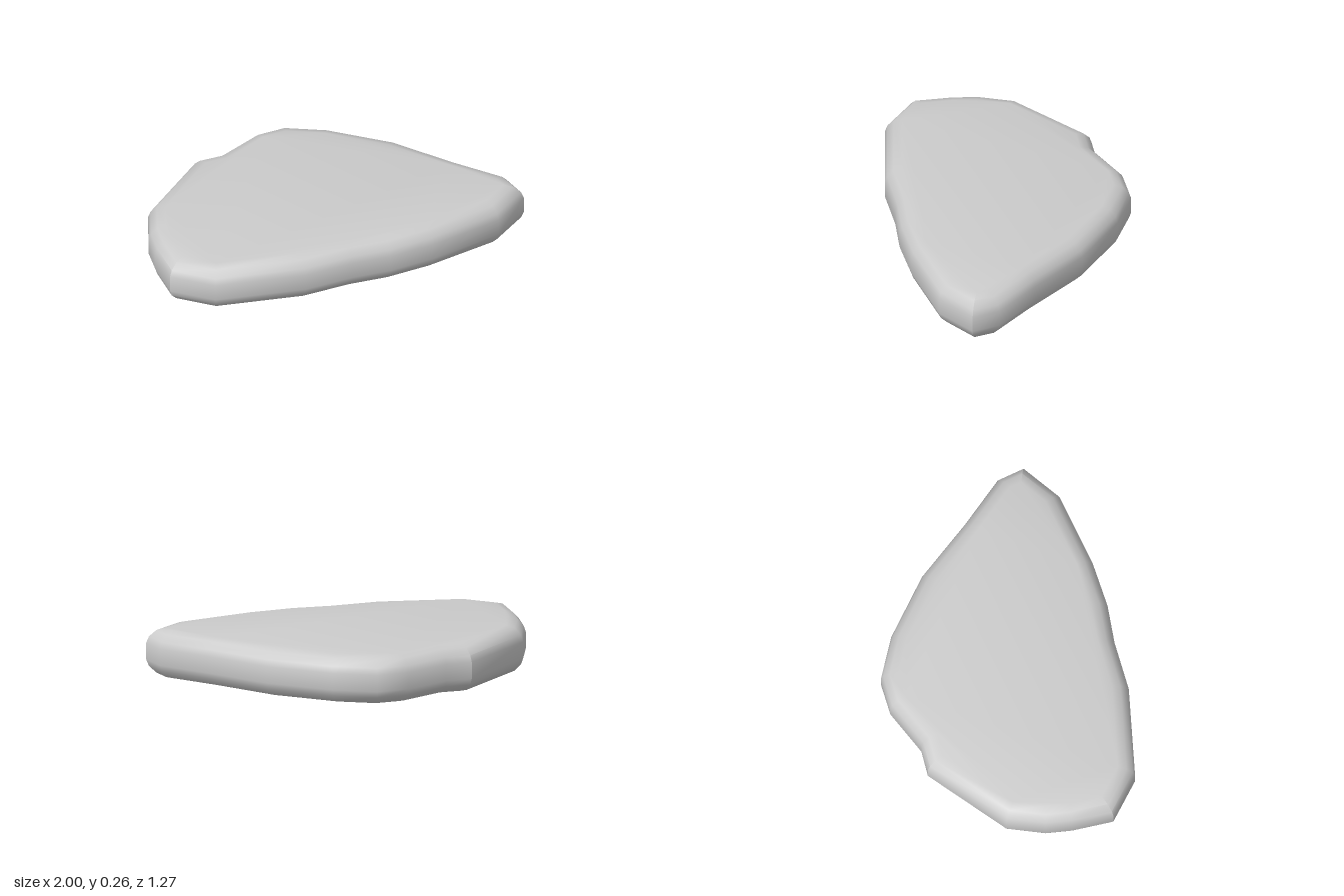
import * as THREE from 'three';
import { toCreasedNormals } from 'three/addons/utils/BufferGeometryUtils.js';

// Slab outline as (x, z), counter-clockwise seen from above
const OUTLINE = [
  [-0.86, -0.26], [-0.95, -0.07], [-0.98, 0.07], [-1, 0.29], [-0.82, 0.47],
  [-0.35, 0.59], [-0.08, 0.6], [0.13, 0.63], [0.38, 0.63], [0.79, 0.58],
  [1, 0.45], [0.98, 0.3], [0.8, 0.06], [0.59, -0.25], [0.32, -0.51],
  [0.115, -0.635], [-0.06, -0.64], [-0.31, -0.55], [-0.45, -0.56],
];

// Rounded rim as (inset, height), bottom to top
const RIM = [
  [0.09, 0], [0.045, 0.014], [0.012, 0.05], [0, 0.085],
  [0, 0.175], [0.012, 0.21], [0.045, 0.246], [0.09, 0.26],
];

// Move every edge of the outline inward by the same distance
function insetOutline(points, distance) {
  const n = points.length;
  return points.map((p, i) => {
    const before = p.clone().sub(points[(i + n - 1) % n]).normalize();
    const after = points[(i + 1) % n].clone().sub(p).normalize();
    const n1 = new THREE.Vector2(-before.y, before.x);
    const n2 = new THREE.Vector2(-after.y, after.x);
    const miter = n1.clone().add(n2).divideScalar(1 + n1.dot(n2));
    return p.clone().addScaledVector(miter, distance);
  });
}

function slabGeometry() {
  const base = OUTLINE.map(([x, z]) => new THREE.Vector2(x, -z));
  const n = base.length;
  const positions = [];
  const index = [];
  for (const [inset, y] of RIM) {
    for (const p of insetOutline(base, inset)) positions.push(p.x, y, -p.y);
  }
  // Rim
  for (let k = 0; k < RIM.length - 1; k++) {
    for (let i = 0; i < n; i++) {
      const j = (i + 1) % n;
      const a = k * n + i, b = k * n + j, c = b + n, d = a + n;
      index.push(a, b, c, a, c, d);
    }
  }
  // Flat top and underside
  const top = (RIM.length - 1) * n;
  const cap = insetOutline(base, RIM[0][0]);
  for (const [a, b, c] of THREE.ShapeUtils.triangulateShape(cap, [])) {
    index.push(top + a, top + b, top + c, c, b, a);
  }
  const geometry = new THREE.BufferGeometry();
  geometry.setAttribute('position', new THREE.Float32BufferAttribute(positions, 3));
  geometry.setIndex(index);
  return toCreasedNormals(geometry, 0.65);
}

export function createModel() {
  const group = new THREE.Group();
  group.name = 'flatStone';
  const slab = new THREE.Mesh(slabGeometry(), new THREE.MeshStandardMaterial({ color: 0xcccccc }));
  slab.name = 'stoneSlab';
  group.add(slab);
  return group;
}
